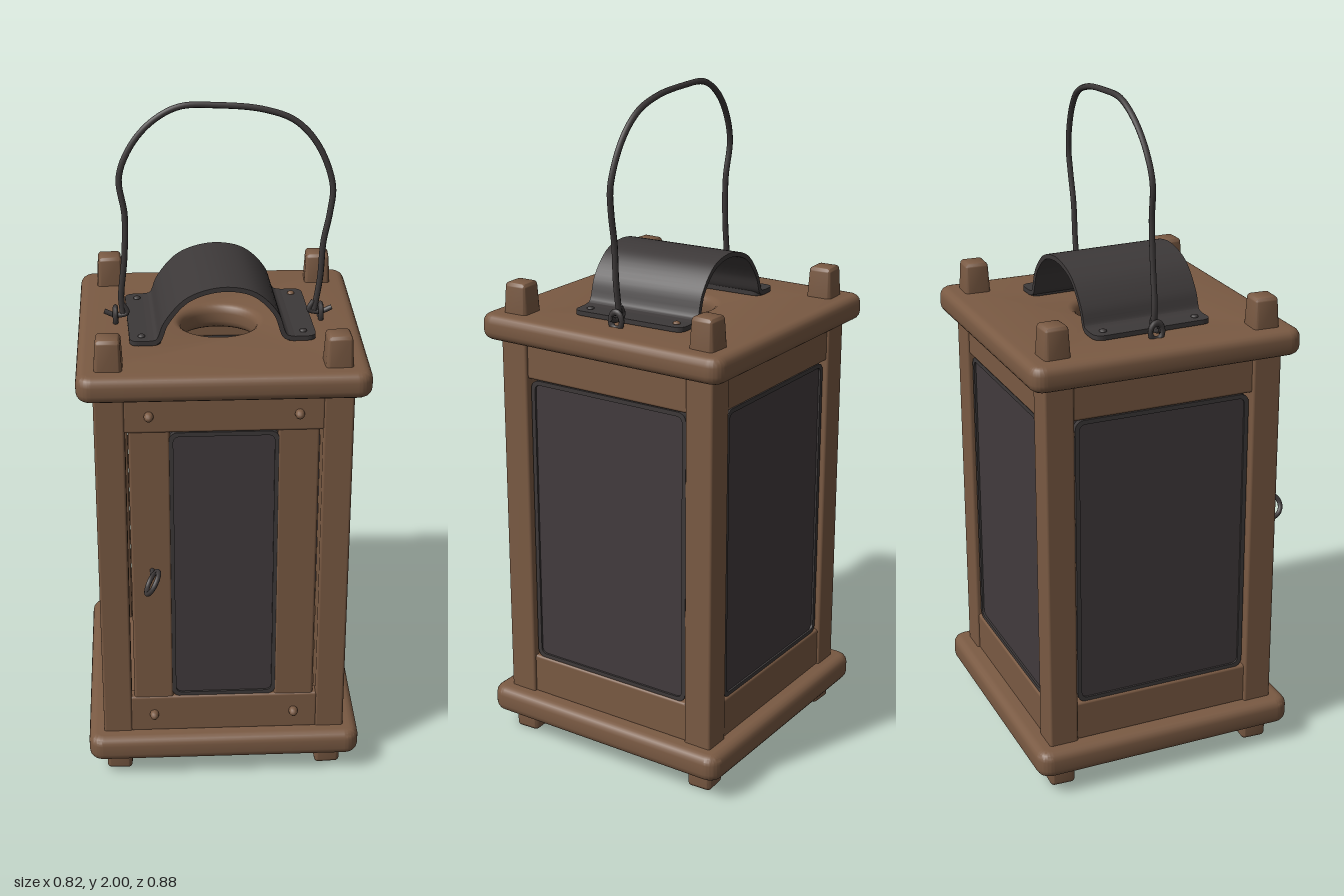
import * as THREE from 'three';
import { toCreasedNormals } from 'three/addons/utils/BufferGeometryUtils.js';
import { RoundedBoxGeometry } from 'three/addons/geometries/RoundedBoxGeometry.js';

const wood = new THREE.MeshStandardMaterial({ color: 0x7a5a43 });
wood.name = 'wood';
const iron = new THREE.MeshStandardMaterial({ color: 0x3d3939 });
iron.name = 'iron';
const glass = new THREE.MeshStandardMaterial({ color: 0x423b3d });
glass.name = 'smoked glass';
const V = (x, y, z) => new THREE.Vector3(x, y, z);
const CZ = -0.027; // centre of the lantern body in z

function add(parent, name, geometry, material, x = 0, y = 0, z = 0) {
  const mesh = new THREE.Mesh(geometry, material);
  mesh.name = name;
  mesh.position.set(x, y, z);
  parent.add(mesh);
  return mesh;
}

const block = (w, h, d, r = 0.008) => new RoundedBoxGeometry(w, h, d, 3, r);

// Draws a centred rectangle with rounded corners into a Shape or Path
function roundRect(path, w, h, r) {
  const x = w / 2, y = h / 2;
  path.moveTo(-x + r, -y);
  path.lineTo(x - r, -y).quadraticCurveTo(x, -y, x, -y + r);
  path.lineTo(x, y - r).quadraticCurveTo(x, y, x - r, y);
  path.lineTo(-x + r, y).quadraticCurveTo(-x, y, -x, y - r);
  path.lineTo(-x, -y + r).quadraticCurveTo(-x, -y, -x + r, -y);
  return path;
}

const tube = (points, radius, closed = false, steps = 80) =>
  new THREE.TubeGeometry(new THREE.CatmullRomCurve3(points, closed), steps, radius, 8, closed);

// Thick board with soft rim, lying flat between y0 and y1
function slab(y0, y1, holeRadius) {
  const b = 0.026;
  const shape = roundRect(new THREE.Shape(), 0.825 - 2 * b, 0.825 - 2 * b, 0.02);
  if (holeRadius) {
    shape.holes.push(new THREE.Path().absarc(0, 0, holeRadius + b, 0, Math.PI * 2, true));
  }
  const g = new THREE.ExtrudeGeometry(shape, {
    depth: y1 - y0 - 2 * b, bevelSize: b, bevelThickness: b, bevelSegments: 4, curveSegments: 24,
  });
  g.rotateX(-Math.PI / 2).translate(0, y0 + b, 0);
  return toCreasedNormals(g, 0.7);
}

// Peg whose upper end is narrower
function pegGeometry(w, h, taper) {
  const g = block(w, h, w, 0.012);
  const p = g.attributes.position;
  for (let i = 0; i < p.count; i++) {
    const s = 1 - taper * (p.getY(i) / h + 0.5);
    p.setX(i, p.getX(i) * s);
    p.setZ(i, p.getZ(i) * s);
  }
  g.computeVertexNormals();
  return toCreasedNormals(g, 0.7);
}

// Glazed wall facing +z: two rails, a pane and its dark rim
function glazedWall(name, paneWidth) {
  const wall = new THREE.Group();
  wall.name = name;
  add(wall, 'topRail', block(0.57, 0.115, 0.045), wood, 0, 1.22, -0.015);
  add(wall, 'bottomRail', block(0.57, 0.125, 0.045), wood, 0, 0.205, -0.015);
  const pane = roundRect(new THREE.Shape(), paneWidth, 0.88, 0.025);
  const paneGeometry = new THREE.ExtrudeGeometry(pane, { depth: 0.008, bevelEnabled: false });
  add(wall, 'pane', paneGeometry, glass, 0, 0.713, -0.012);
  const rim = roundRect(new THREE.Shape(), paneWidth + 0.014, 0.894, 0.03);
  rim.holes.push(roundRect(new THREE.Path(), paneWidth - 0.012, 0.868, 0.02));
  add(wall, 'paneRim', new THREE.ExtrudeGeometry(rim, { depth: 0.016, bevelEnabled: false }), iron, 0, 0.713, -0.014);
  return wall;
}

// Bent sheet over the smoke hole
function smokeCover() {
  const cover = new THREE.Group();
  cover.name = 'smokeCover';
  const outline = new THREE.CatmullRomCurve3([
    V(-0.215, 1.362, 0), V(-0.188, 1.368, 0), V(-0.165, 1.42, 0), V(-0.11, 1.485, 0), V(-0.05, 1.512, 0),
    V(0.02, 1.519, 0), V(0.09, 1.5, 0), V(0.15, 1.44, 0), V(0.178, 1.37, 0), V(0.205, 1.362, 0),
  ]);
  const outer = [], inner = [];
  for (let i = 0; i <= 48; i++) {
    const p = outline.getPoint(i / 48), t = outline.getTangent(i / 48);
    outer.push(new THREE.Vector2(p.x - t.y * 0.007, p.y + t.x * 0.007));
    inner.unshift(new THREE.Vector2(p.x + t.y * 0.007, p.y - t.x * 0.007));
  }
  const arch = new THREE.ExtrudeGeometry(new THREE.Shape([...outer, ...inner]), { depth: 0.365, bevelEnabled: false });
  arch.translate(0, 0, -0.1825);
  add(cover, 'arch', toCreasedNormals(arch, 0.6), iron);
  for (const s of [-1, 1]) {
    const flange = new THREE.ExtrudeGeometry(roundRect(new THREE.Shape(), 0.09, 0.365, 0.03), {
      depth: 0.014, bevelEnabled: false,
    });
    flange.rotateX(-Math.PI / 2);
    add(cover, 'flange', flange, iron, s * 0.223, 1.355, 0);
    for (const z of [-0.145, 0.145]) {
      const rivet = add(cover, 'rivet', new THREE.SphereGeometry(0.011, 12, 8),
        s > 0 && z < 0 ? wood : iron, s * 0.233, 1.37, z);
      rivet.scale.y = 0.6;
    }
  }
  cover.position.z = -0.028;
  cover.rotation.y = 0.04;
  return cover;
}

export function createModel() {
  const lantern = new THREE.Group();
  lantern.name = 'lantern';

  // Base and roof boards
  add(lantern, 'baseBoard', slab(0.065, 0.147), wood, 0, 0, CZ);
  add(lantern, 'roofBoard', slab(1.275, 1.352, 0.11), wood, 0, 0, CZ);

  // Corner posts with feet below and pegs above
  for (const sx of [-1, 1]) {
    for (const sz of [-1, 1]) {
      const z = CZ + sz * 0.32;
      add(lantern, 'cornerPost', block(0.087, 1.16, 0.089), wood, sx * 0.323, 0.712, z);
      const foot = add(lantern, 'foot', pegGeometry(0.076, 0.1, -0.06), wood, sx * 0.32, 0.05, z);
      const peg = add(lantern, 'peg', pegGeometry(0.082, 0.12, 0.16), wood, sx * 0.321, 1.382, z);
      foot.rotation.y = sx * 0.05;
      peg.rotation.y = sx * sz * 0.04;
    }
  }

  // Left, right and back walls
  [['leftWall', Math.PI / 2], ['rightWall', -Math.PI / 2], ['backWall', Math.PI]].forEach(([name, turn]) => {
    const wall = glazedWall(name, 0.525);
    wall.rotation.y = turn;
    wall.position.set(Math.sin(turn) * 0.35, 0, CZ + Math.cos(turn) * 0.35);
    lantern.add(wall);
  });

  // Front door with stiles and pins
  const door = glazedWall('door', 0.3);
  door.position.z = 0.328;
  for (const s of [-1, 1]) {
    add(door, 'stile', block(0.118, 0.915, 0.04), wood, s * 0.212, 0.713, -0.016);
    for (const y of [0.207, 1.217]) {
      add(door, 'pin', new THREE.SphereGeometry(0.014, 12, 8), wood, s * 0.212, y, 0.013).scale.z = 1.5;
    }
  }
  lantern.add(door);

  // Door pull: a tilted ring on a short shank
  const pull = new THREE.Group();
  pull.name = 'doorPull';
  add(pull, 'ring', new THREE.TorusGeometry(0.036, 0.0075, 8, 28), iron, 0, 0, 0.402).rotation.y = Math.PI / 2;
  add(pull, 'shank', new THREE.CylinderGeometry(0.007, 0.007, 0.05, 8), iron, 0, 0, 0.342).rotation.x = Math.PI / 2;
  pull.position.set(-0.21, 0.714, 0);
  pull.rotation.z = -0.52;
  lantern.add(pull);

  lantern.add(smokeCover());

  // Staples that hold the carrying wire
  for (const s of [-1, 1]) {
    const staple = add(lantern, 'staple', new THREE.TorusGeometry(0.019, 0.008, 8, 20), iron, s * 0.302, 1.37, -0.028);
    staple.rotation.y = Math.PI / 2;
    staple.scale.y = 1.3;
    add(lantern, 'wireHook', tube([
      V(s * 0.335, 1.385, -0.03), V(s * 0.30, 1.372, -0.028), V(s * 0.268, 1.38, -0.027), V(s * 0.282, 1.41, -0.027),
    ], 0.008, false, 20), iron);
  }

  // Hand-bent carrying wire
  const bend = [
    [-0.28, 1.38], [-0.284, 1.43], [-0.272, 1.55], [-0.268, 1.68], [-0.282, 1.79], [-0.25, 1.875], [-0.19, 1.945],
    [-0.11, 1.988], [0, 1.991], [0.13, 1.978], [0.22, 1.945], [0.285, 1.875], [0.328, 1.76], [0.322, 1.68],
    [0.305, 1.59], [0.298, 1.48], [0.283, 1.38],
  ];
  const wire = bend.map(([x, y]) => V(x, y, -0.026 - 0.026 * Math.pow((y - 1.38) / 0.61, 3)));
  add(lantern, 'carryingWire', tube(wire, 0.009, false, 120), iron);

  return lantern;
}
